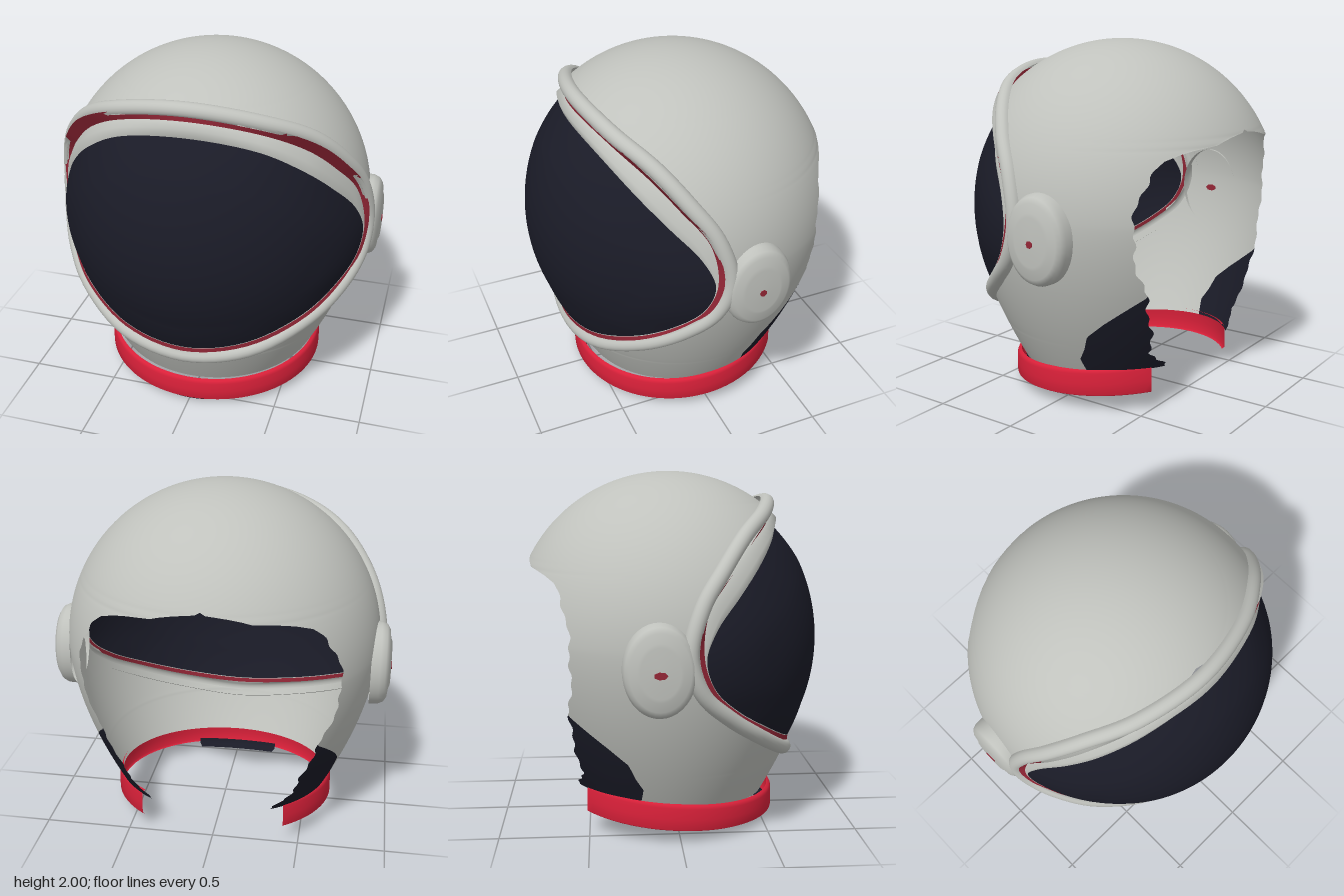
import * as THREE from 'three';
import { mergeVertices } from 'three/addons/utils/BufferGeometryUtils.js';

const material = (name, color) => {
  const m = new THREE.MeshStandardMaterial({ color, side: THREE.DoubleSide });
  m.name = name;
  return m;
};

// Smooth surface through rows of points; columns where patch(j) holds use the second material
function surface(rows, { closed = false, skip = -1, patch = () => false } = {}) {
  const n = rows[0].length, main = [], second = [];
  for (let i = 0; i < rows.length - 1; i++) {
    for (let j = 0; j < (closed ? n : n - 1); j++) {
      if (j === skip) continue;
      const k = (j + 1) % n;
      const a = i * n + j, b = i * n + k, c = a + n, d = b + n;
      (patch(j) ? second : main).push(a, b, d, a, d, c);
    }
  }
  let g = new THREE.BufferGeometry().setFromPoints(rows.flat());
  g.setIndex([...main, ...second]);
  g = mergeVertices(g, 1e-4);
  g.clearGroups();
  g.addGroup(0, main.length, 0);
  if (second.length) g.addGroup(main.length, second.length, 1);
  g.computeVertexNormals();
  return g;
}

// Closed loop mirrored in x from points running top to bottom on the +x side
function mirroredLoop(half) {
  const pts = half.map(p => new THREE.Vector3(...p));
  const other = pts.slice(1, -1).reverse().map(p => new THREE.Vector3(-p.x, p.y, p.z));
  return new THREE.CatmullRomCurve3([...pts, ...other], true);
}

// Linear lookup in a list of [key, value] with rising keys
function lookup(table, key) {
  for (let i = 1; i < table.length; i++) {
    const [k0, v0] = table[i - 1], [k1, v1] = table[i];
    if (key <= k1) return v0 + (v1 - v0) * Math.max(0, (key - k0) / (k1 - k0));
  }
  return table[table.length - 1][1];
}

const CZ = -0.03; // z of the helmet's axis
const drop = y => Math.max(0, (1.1 - y) / 0.9);
const radius = y => y >= 1.1
  ? Math.sqrt(Math.max(0, 0.81 - (y - 1.1) ** 2))
  : 0.9 - 0.28 * drop(y) ** 1.7;
const squash = y => 1 - 0.05 * drop(y);
const angleAt = (y, z) => Math.acos(THREE.MathUtils.clamp((z - CZ) / (radius(y) * squash(y)), -1, 1));

export function createModel() {
  const grey = material('shell grey', 0xc0c2bd);
  const red = material('collar red', 0xd92039);
  const darkRed = material('trim dark red', 0x942636);
  const navy = material('visor navy', 0x1a1b27);
  const model = new THREE.Group();
  const add = (name, geometry, mat, parent = model) => {
    const mesh = new THREE.Mesh(geometry, mat);
    mesh.name = name;
    parent.add(mesh);
    return mesh;
  };

  // Loops round the face opening, from outside to inside
  const rim = mirroredLoop([[0, 1.83, 0.535], [0.38, 1.77, 0.46], [0.62, 1.66, 0.325], [0.77, 1.5, 0.2],
    [0.86, 1.32, 0.085], [0.9, 1.08, 0.025], [0.88, 0.885, 0.09], [0.805, 0.745, 0.23],
    [0.655, 0.605, 0.41], [0.36, 0.455, 0.595], [0, 0.392, 0.65]]);
  const trimOuter = mirroredLoop([[0, 1.825, 0.56], [0.41, 1.76, 0.49], [0.665, 1.64, 0.365], [0.8, 1.49, 0.245],
    [0.885, 1.32, 0.12], [0.915, 1.08, 0.068], [0.885, 0.89, 0.135], [0.797, 0.752, 0.272],
    [0.648, 0.625, 0.443], [0.357, 0.49, 0.615], [0, 0.433, 0.678]]);
  const trimInner = mirroredLoop([[0, 1.775, 0.56], [0.38, 1.71, 0.475], [0.6, 1.595, 0.35], [0.735, 1.46, 0.24],
    [0.845, 1.29, 0.12], [0.895, 1.07, 0.095], [0.87, 0.9, 0.155], [0.785, 0.77, 0.28],
    [0.635, 0.645, 0.45], [0.35, 0.515, 0.62], [0, 0.46, 0.68]]);
  const visorEdge = mirroredLoop([[0, 1.69, 0.575], [0.38, 1.63, 0.515], [0.6, 1.5, 0.41], [0.73, 1.37, 0.3],
    [0.845, 1.2, 0.16], [0.89, 1.05, 0.105], [0.868, 0.902, 0.157], [0.783, 0.773, 0.282],
    [0.633, 0.649, 0.451], [0.349, 0.519, 0.621], [0, 0.464, 0.681]]);
  const STEPS = 120;
  const sample = curve => Array.from({ length: STEPS }, (_, i) => curve.getPoint(i / STEPS));

  // Shell: each row runs from the torn back opening to the face opening on both sides
  const frontEdge = [];
  for (let i = 200; i >= 0; i--) {
    const p = rim.getPoint(i / 400);
    frontEdge.push([p.y, Math.atan2(p.x, (p.z - CZ) / squash(p.y))]);
  }
  const backEdge = [[0.12, -0.5], [0.3, -0.52], [0.5, -0.57], [0.72, -0.6], [0.9, -0.58],
    [1.2, -0.59], [1.35, -0.63], [1.42, -0.66], [1.46, -0.74], [1.48, -0.81], [1.55, -0.82]];
  const darkEdge = [[0.12, -0.2], [0.27, -0.2], [0.465, -0.285], [0.555, -0.39], [0.73, -0.62]];
  const startAngle = y => (y > 1.83 || y < 0.392 ? 0 : Math.max(0, lookup(frontEdge, y)));
  const endAngle = y => y > 1.56 ? Math.PI
    : angleAt(y, lookup(backEdge, y) + 0.006 * Math.sin(y * 61) + 0.005 * Math.sin(y * 23));
  const heights = [];
  for (let i = 0; i < 70; i++) heights.push(0.12 + 0.98 * i / 70);
  for (let i = 0; i <= 90; i++) heights.push(1.1 + 0.9 * Math.sin(Math.PI / 2 * i / 90));
  const COLS = 44, SPLIT = 32;
  const shellRows = heights.map(y => {
    const a = startAngle(y), b = endAngle(y), row = [];
    const c = y > 0.73 ? b : Math.min(b, angleAt(y, lookup(darkEdge, y)));
    for (const side of [-1, 1]) {
      for (let j = 0; j <= COLS; j++) {
        const k = side < 0 ? COLS - j : j;
        const f = k <= SPLIT ? a + (c - a) * k / SPLIT : c + (b - c) * (k - SPLIT) / (COLS - SPLIT);
        // the lower edge follows the tilted collar
        const h = y + (0.085 - 0.055 * Math.cos(f)) * Math.max(0, (0.38 - y) / 0.26);
        const r = radius(h);
        row.push(new THREE.Vector3(side * r * Math.sin(f), h, CZ + r * squash(h) * Math.cos(f)));
      }
    }
    return row;
  });
  const darkCorner = j => j < COLS - SPLIT || j > COLS + SPLIT;
  add('shell', surface(shellRows, { skip: COLS, patch: darkCorner }), [grey, navy]);

  // Rolled rim: a half pipe arching outward from the shell and ending at the trim
  const middle = new THREE.Vector3(0, 1.1, CZ);
  const rimRows = [];
  for (let i = 0; i <= 10; i++) {
    const angle = Math.PI * (1 - i / 10);
    rimRows.push(sample(rim).map((p, j) => {
      const out = p.clone().sub(middle).normalize();
      const across = rim.getTangent(j / STEPS).cross(out).normalize();
      return p.addScaledVector(across, 0.043 * Math.cos(angle)).addScaledVector(out, 0.043 * Math.sin(angle));
    }));
  }
  rimRows.push(sample(trimOuter));
  add('rim', surface(rimRows, { closed: true }), grey);

  // Red trim, then a rounded lip round the visor
  add('visorTrim', surface([sample(trimOuter), sample(trimInner)], { closed: true }), darkRed);
  const edge = sample(visorEdge);
  const lipMiddle = sample(trimInner).map((p, i) => {
    const bulge = 0.3 * p.distanceTo(edge[i]);
    return p.lerp(edge[i], 0.45).add(new THREE.Vector3(0, bulge * 0.3, bulge));
  });
  add('visorLip', surface([sample(trimInner), lipMiddle, edge], { closed: true }), grey);

  // Visor: ellipsoid patch blended from its edge to the foremost point
  const size = new THREE.Vector3(0.87, 0.95, 0.86), centre = new THREE.Vector3(0, 1.04, CZ);
  const visorRows = [];
  for (let i = 0; i <= 24; i++) {
    visorRows.push(sample(visorEdge).map(p => {
      const q = p.sub(centre).divide(size), len = q.length();
      const f = Math.acos(q.z / len) * (1 - i / 24), g = Math.atan2(q.y, q.x);
      return new THREE.Vector3(Math.sin(f) * Math.cos(g), Math.sin(f) * Math.sin(g), Math.cos(f))
        .multiplyScalar(THREE.MathUtils.lerp(len, 1, Math.min(1, i / 8))).multiply(size).add(centre);
    }));
  }
  add('visor', surface(visorRows, { closed: true }), navy);

  // Tilted collar, open at the back; profile gives [inset, height from 0 at bottom to 1 at top]
  const collarProfile = [[0.015, 0], [0, 0.06], [0, 0.45], [0.002, 0.85], [0.01, 0.97], [0.025, 1]];
  const collarRows = collarProfile.map(([inset, h]) => Array.from({ length: 73 }, (_, j) => {
    const f = 2.46 * (j / 36 - 1);
    const z = CZ + (0.62 - inset) * Math.cos(f);
    const bottom = 0.07 - 0.075 * z, top = 0.22 - 0.1 * z;
    return new THREE.Vector3((0.655 - inset) * Math.sin(f), THREE.MathUtils.lerp(bottom, top, h), z);
  }));
  add('collar', surface(collarRows), red);

  // Navy tongue showing under the front of the collar
  const tongue = [[0.02, 0.04], [0.03, 0.005], [0.07, 0]].map(([inset, y]) =>
    Array.from({ length: 21 }, (_, j) => {
      const f = 0.42 * (j / 10 - 1);
      return new THREE.Vector3((0.655 - inset) * Math.sin(f), y + 0.02 * (j / 10 - 1) ** 2,
        CZ + (0.62 - inset) * Math.cos(f));
    }));
  add('collarTongue', surface(tongue), navy);

  // Ear caps with a small red mark on the outside and on the inside of the shell
  const capProfile = [[0, 0.968], [0.13, 0.966], [0.15, 0.958], [0.2, 0.952], [0.228, 0.935], [0.243, 0.905], [0.245, 0.855]]
    .map(([r, h]) => new THREE.Vector2(r, h));
  for (const side of [1, -1]) {
    const ear = new THREE.Group();
    ear.name = side > 0 ? 'leftEarCap' : 'rightEarCap';
    const cap = add('cap', new THREE.LatheGeometry(capProfile, 40), grey, ear);
    cap.rotation.z = -side * Math.PI / 2;
    cap.scale.set(1, 1, 0.78);
    for (const [name, x] of [['outerMark', 0.968], ['innerMark', 0.884]]) {
      const mark = add(name, new THREE.CylinderGeometry(0.02, 0.02, 0.008, 7), darkRed, ear);
      mark.rotation.z = Math.PI / 2;
      mark.position.set(side * x, -0.01, 0);
      if (side < 0) mark.scale.z = 1.8;
    }
    ear.position.set(0, 1.015, -0.13);
    model.add(ear);
  }

  return model;
}
